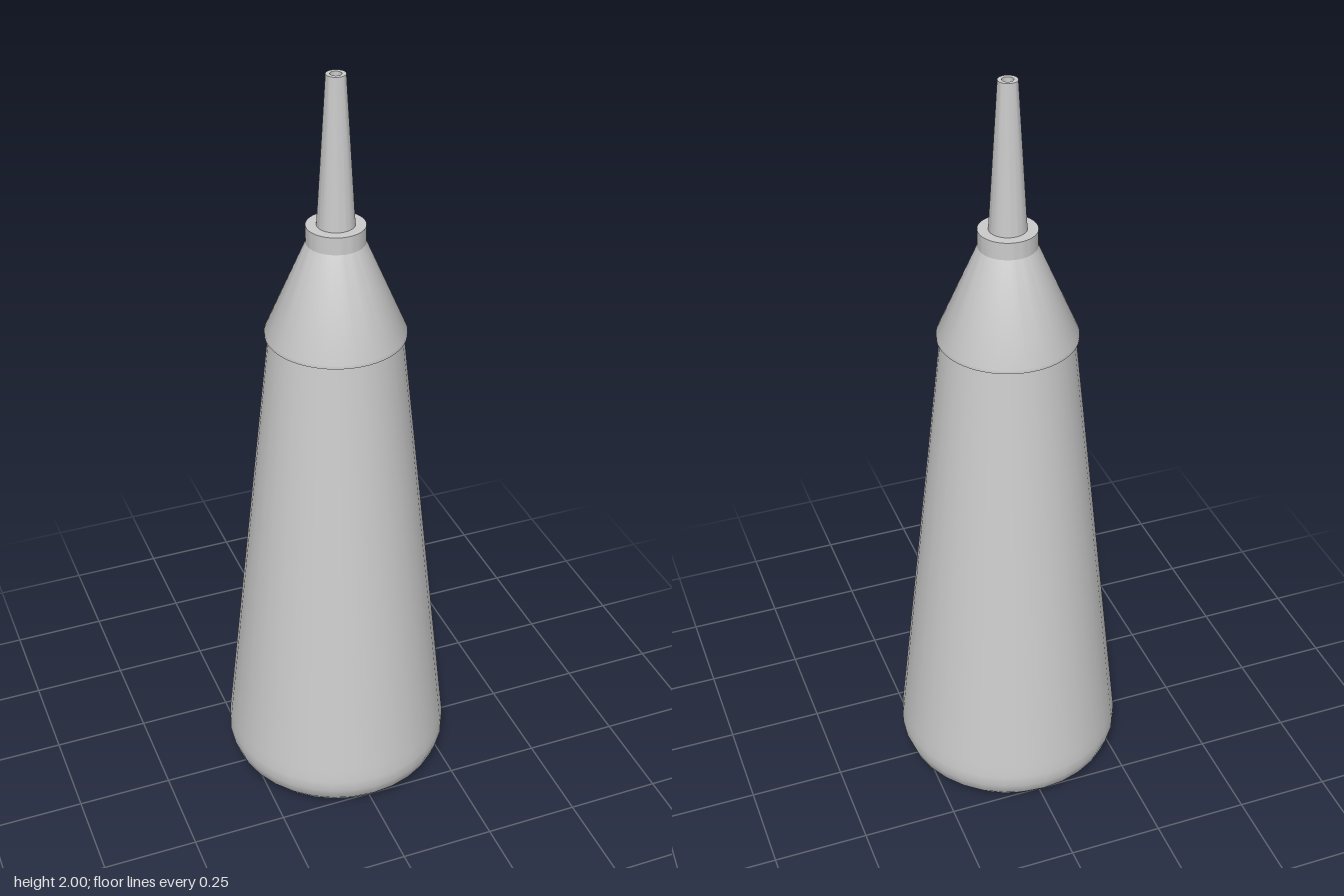
import * as THREE from 'three';
import { toCreasedNormals } from 'three/addons/utils/BufferGeometryUtils.js';

const material = new THREE.MeshStandardMaterial({ color: 0xcccccc });

// Turned part from [radius, height] pairs, listed from the bottom outwards and up
function turned(name, profile, sides, crease = 0.5) {
  const points = profile.map(([r, y]) => new THREE.Vector2(r, y));
  const geometry = toCreasedNormals(new THREE.LatheGeometry(points, sides), crease);
  const mesh = new THREE.Mesh(geometry, material);
  mesh.name = name;
  return mesh;
}

export function createModel() {
  const group = new THREE.Group();
  group.name = 'squeezeBottle';

  // Tapered body with a rounded foot
  group.add(turned('body', [
    [0, 0], [0.235, 0], [0.265, 0.013], [0.288, 0.04], [0.3, 0.075],
    [0.3, 0.105], [0.296, 0.14], [0.167, 1.335], [0, 1.335],
  ], 32, 0.6));

  // Conical cap, slightly wider than the body's top
  group.add(turned('cap', [
    [0, 1.33], [0.176, 1.33], [0.176, 1.34], [0.073, 1.58], [0, 1.58],
  ], 64));

  // Short collar at the foot of the nozzle
  group.add(turned('collar', [
    [0, 1.575], [0.073, 1.575], [0.073, 1.625], [0, 1.625],
  ], 64, 0.4));

  // Slim nozzle with a bored tip
  group.add(turned('nozzle', [
    [0, 1.62], [0.047, 1.62], [0.024, 2], [0.014, 2], [0.014, 1.9], [0, 1.9],
  ], 48));

  return group;
}
